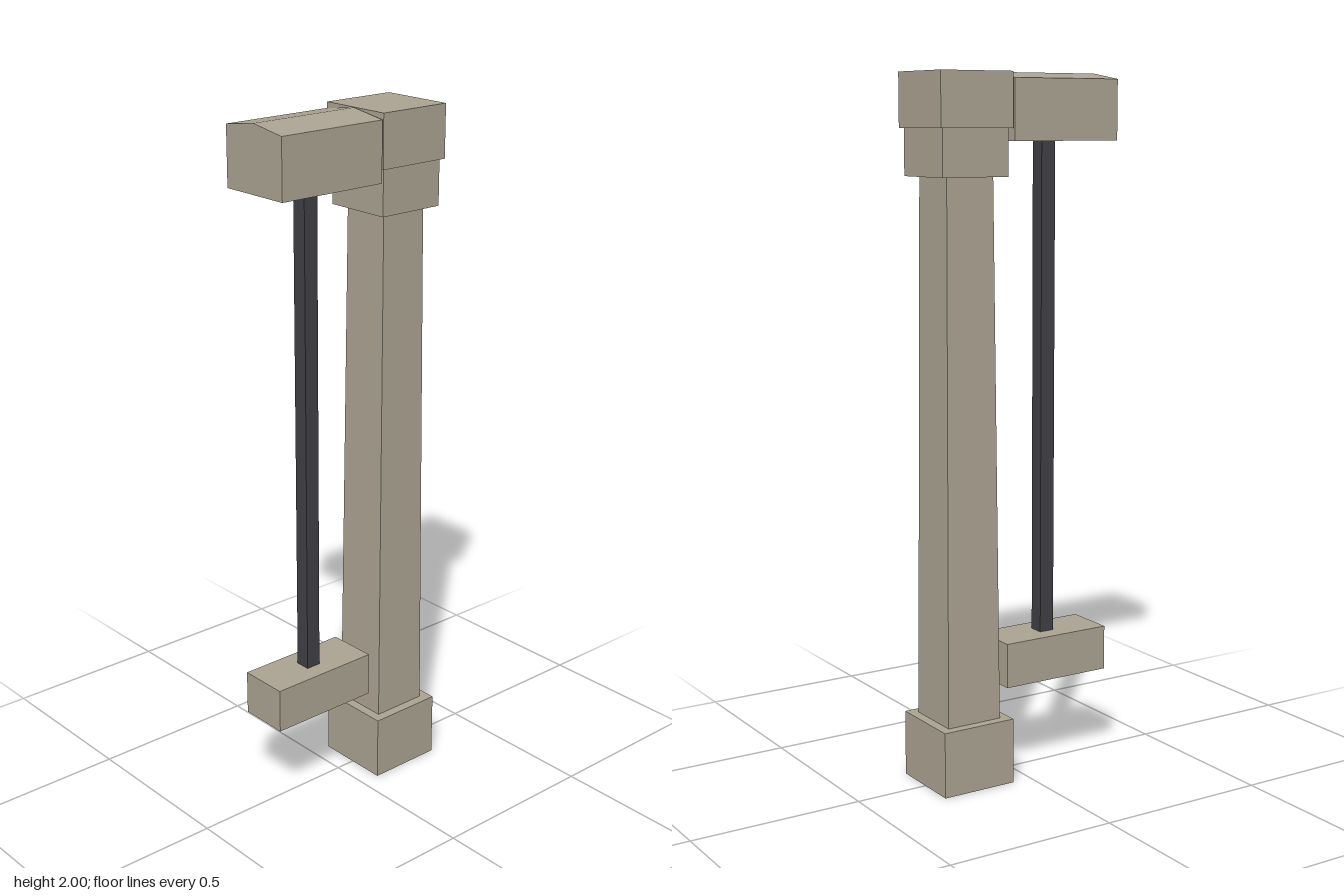
import * as THREE from 'three';

export function createModel() {
  const model = new THREE.Group();
  const stone = new THREE.MeshStandardMaterial({ color: 0xaaa291 });
  stone.name = 'stone';
  const iron = new THREE.MeshStandardMaterial({ color: 0x3f3f45 });
  iron.name = 'darkIron';

  const add = (name, geometry, material) => {
    const mesh = new THREE.Mesh(geometry, material);
    mesh.name = name;
    model.add(mesh);
    return mesh;
  };
  // Box standing between heights y0 and y1, centred on z = 0
  const block = (name, material, x, y0, y1, width, depth) => {
    const mesh = add(name, new THREE.BoxGeometry(width, y1 - y0, depth), material);
    mesh.position.set(x, (y0 + y1) / 2, 0);
    return mesh;
  };

  // Post: plinth, tapered shaft and two-step cap
  const postX = 0.172;
  block('postBase', stone, postX, 0, 0.19, 0.226, 0.226);
  const shaft = block('postShaft', stone, postX, 0.19, 1.72, 0.17, 0.17);
  const p = shaft.geometry.attributes.position;
  for (let i = 0; i < p.count; i++) {
    if (p.getY(i) > 0) p.setXYZ(i, p.getX(i) * 0.86, p.getY(i), p.getZ(i) * 0.86);
  }
  shaft.geometry.computeVertexNormals();
  block('postNeck', stone, postX, 1.72, 1.85, 0.206, 0.206);
  block('postCap', stone, postX, 1.85, 2, 0.226, 0.226);

  // Handrail with a shallow ridged top, running along x
  const railX = -0.115, railLength = 0.34;
  const profile = new THREE.Shape([
    [-0.113, 1.815], [0.113, 1.815], [0.113, 1.983], [0, 2], [-0.113, 1.983],
  ].map(([z, y]) => new THREE.Vector2(z, y)));
  const rail = new THREE.ExtrudeGeometry(profile, { depth: railLength, bevelEnabled: false });
  rail.translate(0, 0, -railLength / 2).rotateY(Math.PI / 2).translate(railX, 0, 0);
  add('topRail', rail, stone);

  // Lower rail and baluster
  block('bottomRail', stone, railX, 0.27, 0.4, railLength, 0.15);
  block('baluster', iron, railX, 0.4, 1.815, 0.045, 0.045);

  return model;
}
